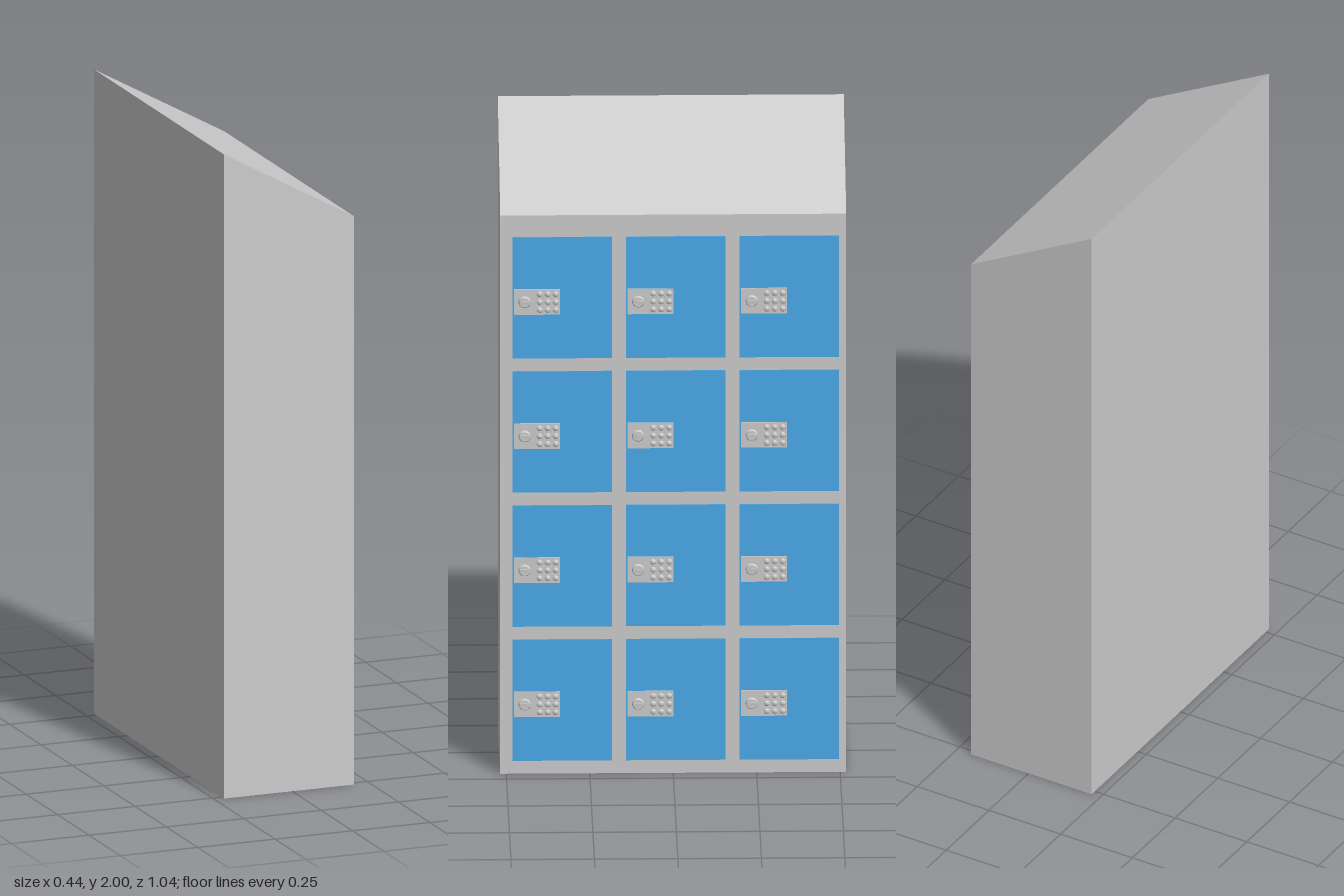
import * as THREE from 'three';

const FRONT = 0.2; // x of the cabinet face that carries the doors

export function createModel() {
  const group = new THREE.Group();
  const grey = new THREE.MeshStandardMaterial({ color: 0xcccccc });
  const blue = new THREE.MeshStandardMaterial({ color: 0x48a8e8 });

  const add = (parent, name, geometry, material, x, y, z) => {
    const mesh = new THREE.Mesh(geometry, material);
    mesh.name = name;
    mesh.position.set(x, y, z);
    parent.add(mesh);
    return mesh;
  };

  // Cabinet with sloping top: side profile extruded along z
  const profile = new THREE.Shape([
    new THREE.Vector2(-0.22, 0),
    new THREE.Vector2(FRONT, 0),
    new THREE.Vector2(FRONT, 1.765),
    new THREE.Vector2(-0.22, 2),
  ]);
  const body = new THREE.ExtrudeGeometry(profile, { depth: 1.036, bevelEnabled: false });
  add(group, 'cabinet', body, grey, 0, 0, -0.518);

  // Shared door and lock geometries; round parts point along +x
  const doorGeo = new THREE.BoxGeometry(0.006, 0.383, 0.298);
  const plateGeo = new THREE.BoxGeometry(0.004, 0.08, 0.137);
  const buttonGeo = new THREE.SphereGeometry(0.009, 12, 6, 0, Math.PI * 2, 0, Math.PI / 2);
  buttonGeo.scale(1, 0.6, 1).rotateZ(-Math.PI / 2);
  const knobGeo = new THREE.CylinderGeometry(0.015, 0.019, 0.008, 20).rotateZ(-Math.PI / 2);

  // Thumb turn: a grip with a slanted outer edge
  const gripShape = new THREE.Shape([
    new THREE.Vector2(0, -0.016),
    new THREE.Vector2(0.007, -0.012),
    new THREE.Vector2(0.003, 0.016),
    new THREE.Vector2(0, 0.016),
  ]);
  const gripGeo = new THREE.ExtrudeGeometry(gripShape, { depth: 0.01, bevelEnabled: false });
  gripGeo.translate(0, 0, -0.005).rotateX(Math.PI / 2);

  const makeLock = () => {
    const lock = new THREE.Group();
    lock.name = 'lock';
    add(lock, 'lockPlate', plateGeo, grey, 0.002, 0, 0);
    add(lock, 'knob', knobGeo, grey, 0.007, 0, 0.037);
    add(lock, 'thumbTurn', gripGeo, grey, 0.01, 0, 0.037);
    for (let r = -1; r <= 1; r++) {
      for (let c = -1; c <= 1; c++) {
        add(lock, 'keypadButton', buttonGeo, grey, 0.004, r * 0.025, -0.032 + c * 0.024);
      }
    }
    return lock;
  };

  // Four rows of three compartments
  for (let row = 0; row < 4; row++) {
    for (let col = 0; col < 3; col++) {
      const compartment = new THREE.Group();
      compartment.name = 'compartment';
      compartment.position.set(FRONT, 0.233 + row * 0.424, 0.332 - col * 0.34);
      add(compartment, 'door', doorGeo, blue, 0, 0, 0);
      const lock = makeLock();
      lock.position.set(0.003, -0.012, 0.076);
      compartment.add(lock);
      group.add(compartment);
    }
  }
  return group;
}
